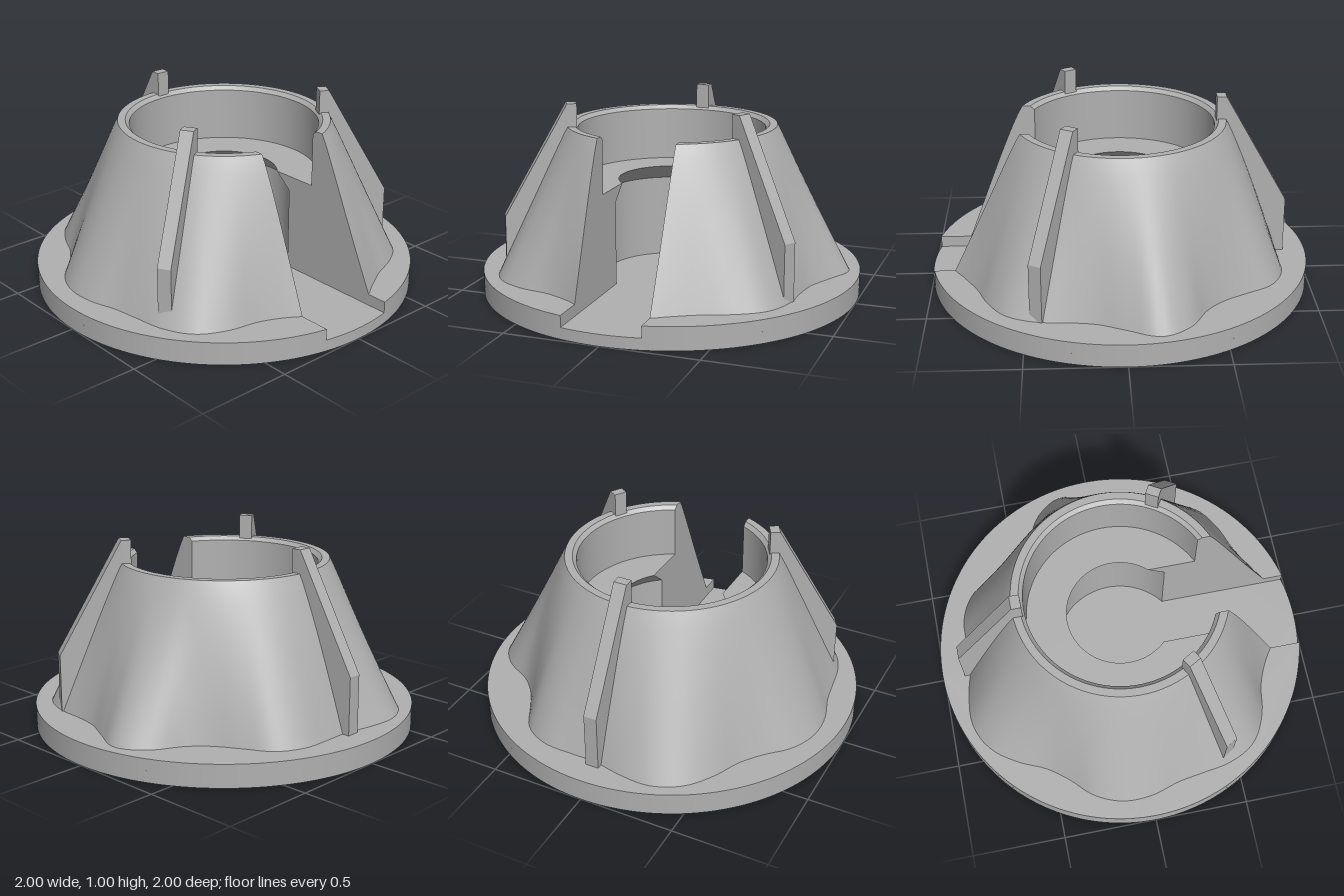
import * as THREE from 'three';
import { toCreasedNormals } from 'three/addons/utils/BufferGeometryUtils.js';

const SLOT = 0.205; // half width of the front slot
const BASE_TOP = 0.12, RIM = 0.88, RIM_R = 0.55, CAVITY_R = 0.35;
const MEAN = 0.87;

// Wavy footprint radius every 10 degrees, from +z towards +x
const FOOT = [
  0.90, 0.905, 0.865, 0.855, 0.89, 0.915, 0.885, 0.83, 0.815, 0.865, 0.943, 0.90,
  0.80, 0.775, 0.81, 0.875, 0.885, 0.855, 0.845, 0.89, 0.938, 0.935, 0.885, 0.83,
  0.835, 0.885, 0.905, 0.89, 0.86, 0.875, 0.915, 0.93, 0.885, 0.82, 0.815, 0.86,
];
const footCurve = new THREE.SplineCurve(
  Array.from({ length: 39 }, (_, i) => new THREE.Vector2(i - 1, FOOT[(i + 35) % 36])));
const footRadius = (phi) => {
  const turns = ((phi / (2 * Math.PI)) % 1 + 1) % 1;
  return footCurve.getPoint((turns * 36 + 1) / 38).y;
};

// Body cross-section: outer skin upwards, chamfered rim, cup, lip and cavity
function bodyProfile() {
  const rings = [];
  const steps = 20;
  for (let i = 0; i <= steps; i++) {
    const s = 1 - i / steps;
    const y = RIM + (BASE_TOP - RIM) * s;
    rings.push({ y, r: (phi) => RIM_R + (MEAN - RIM_R) * s ** 0.93 + (footRadius(phi) - MEAN) * s ** 1.5 });
  }
  const inner = [[0.51, RIM], [0.49, 0.86], [0.49, 0.58], [0.28, 0.58], [CAVITY_R, 0.5], [CAVITY_R, BASE_TOP]];
  for (const [r, y] of inner) rings.push({ y, r: () => r });
  return rings;
}

// Angle at which a ring meets the slot wall on side +1 or -1
function slotAngle(ring, side) {
  let phi = side * 0.3;
  for (let k = 0; k < 12; k++) phi = side * Math.asin(SLOT / ring.r(phi));
  return phi;
}

function bodySkin(rings) {
  const segs = 144, row = segs + 1;
  const pos = [], index = [];
  rings.forEach((ring, j) => {
    const a = slotAngle(ring, 1), b = 2 * Math.PI + slotAngle(ring, -1);
    for (let i = 0; i <= segs; i++) {
      const phi = a + (b - a) * i / segs, r = ring.r(phi);
      pos.push(r * Math.sin(phi), ring.y, r * Math.cos(phi));
      if (j && i) {
        const p = (j - 1) * row + i - 1, q = p + row;
        index.push(p, p + 1, q, p + 1, q + 1, q);
      }
    }
  });
  const geo = new THREE.BufferGeometry();
  geo.setAttribute('position', new THREE.Float32BufferAttribute(pos, 3));
  geo.setIndex(index);
  return toCreasedNormals(geo, 0.5);
}

// Flat side of the slot, facing the middle
function slotWall(rings, side) {
  const pts = rings.map((ring) => {
    const phi = slotAngle(ring, side);
    return new THREE.Vector2(side * ring.r(phi) * Math.cos(phi), ring.y);
  });
  const geo = new THREE.ShapeGeometry(new THREE.Shape(pts));
  geo.rotateY(-side * Math.PI / 2);
  geo.translate(side * SLOT, 0, 0);
  return geo;
}

// Horizontal slab extruded from y0 to y1
function slab(shape, y0, y1) {
  const geo = new THREE.ExtrudeGeometry(shape, { depth: y1 - y0, bevelEnabled: false, curveSegments: 128 });
  geo.rotateX(-Math.PI / 2);
  geo.translate(0, y0, 0);
  return toCreasedNormals(geo, 0.5);
}
const circle = (Type, x, y, r) => new Type().absarc(x, y, r, 0, Math.PI * 2, false);

export function createModel() {
  const group = new THREE.Group();
  const grey = new THREE.MeshStandardMaterial({ color: 0xb0b0b0 });
  grey.name = 'plain grey';
  const add = (name, geo) => {
    const mesh = new THREE.Mesh(geo, grey);
    mesh.name = name;
    group.add(mesh);
    return mesh;
  };

  // Base: underside with four blind holes, thin web, slotted top
  const under = circle(THREE.Shape, 0, 0, 1);
  for (let i = 0; i < 4; i++) {
    const a = Math.PI / 4 + i * Math.PI / 2;
    under.holes.push(circle(THREE.Path, 0.76 * Math.cos(a), 0.76 * Math.sin(a), 0.125));
  }
  add('baseUnderside', slab(under, 0, 0.05));
  add('baseWeb', slab(circle(THREE.Shape, 0, 0, 1), 0.05, 0.06));

  const out = Math.asin(SLOT), inn = Math.asin(SLOT / CAVITY_R), q = Math.PI / 2;
  const top = new THREE.Shape();
  top.absarc(0, 0, 1, -q + out, 3 * q - out, false);
  top.absarc(0, 0, CAVITY_R, 3 * q - inn, -q + inn, true);
  top.closePath();
  add('baseTop', slab(top, 0.06, BASE_TOP));

  // Wavy conical body with cup and slot
  const rings = bodyProfile();
  add('body', bodySkin(rings));
  add('slotWallLeft', slotWall(rings, 1));
  add('slotWallRight', slotWall(rings, -1));

  // Three radial fins
  const finShape = new THREE.Shape(
    [[0.5, BASE_TOP], [0.88, BASE_TOP], [0.88, 0.42], [0.55, 1], [0.5, 1]].map(([r, y]) => new THREE.Vector2(r, y)));
  const finGeo = new THREE.ExtrudeGeometry(finShape, { depth: 0.07, bevelEnabled: false });
  finGeo.translate(0, 0, -0.035);
  [['finLeft', 60], ['finBack', 180], ['finRight', 300]].forEach(([name, deg]) => {
    add(name, finGeo).rotation.y = THREE.MathUtils.degToRad(deg - 90);
  });
  return group;
}
